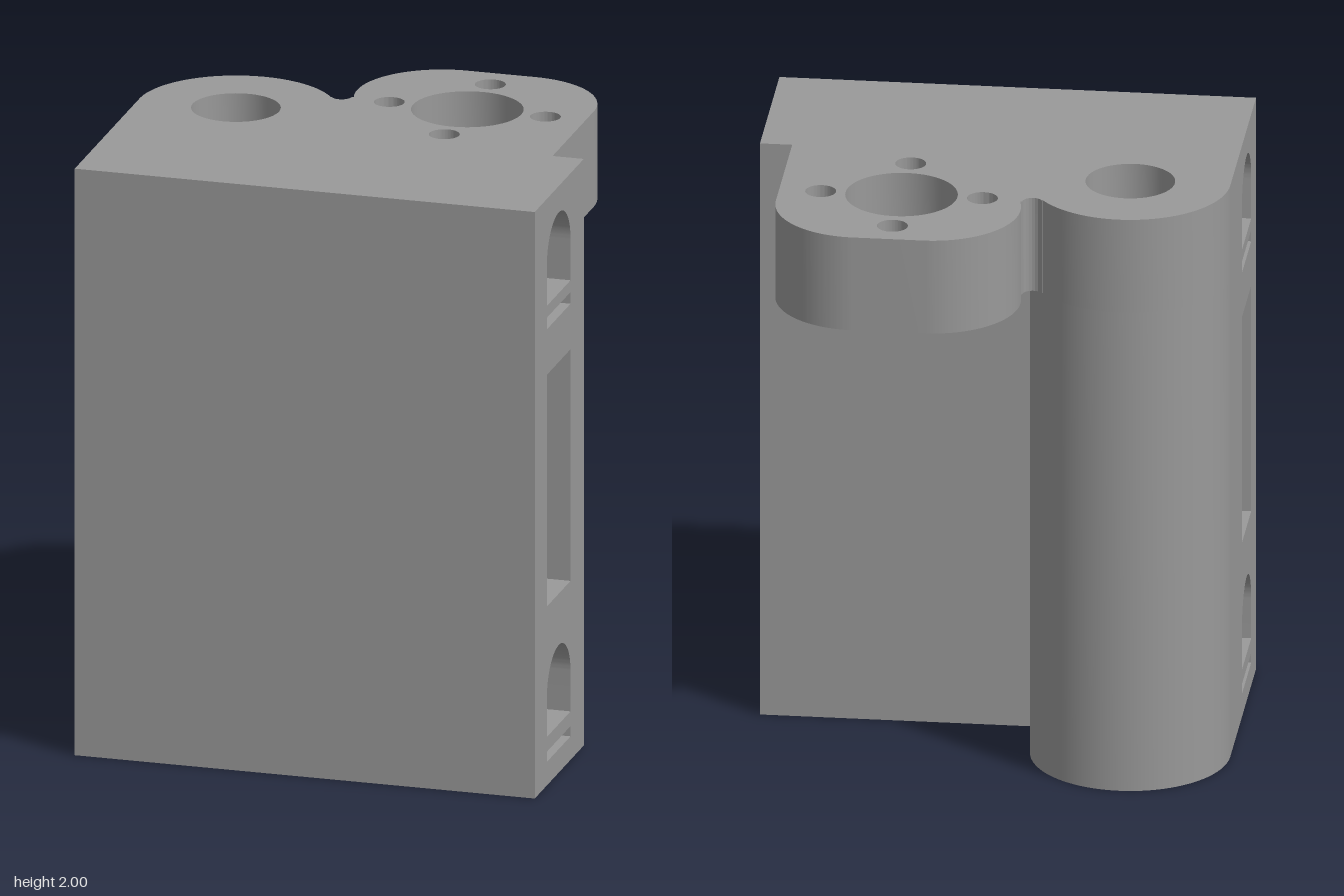
import * as THREE from 'three';
import { toCreasedNormals } from 'three/addons/utils/BufferGeometryUtils.js';

const SLAB_BACK = 0.095, SLAB_FRONT = 0.655, HALF_W = 0.775;
const HEIGHT = 2, FLANGE_BOTTOM = 1.675;

export function createModel() {
  const model = new THREE.Group();
  model.name = 'bracket';
  const grey = new THREE.MeshStandardMaterial({ color: 0x999999 });
  grey.name = 'grey';

  const extrude = (shape, depth) =>
    new THREE.ExtrudeGeometry(shape, { depth, bevelEnabled: false, curveSegments: 32 });

  const add = (name, geometry) => {
    const mesh = new THREE.Mesh(toCreasedNormals(geometry, 0.5), grey);
    mesh.name = name;
    model.add(mesh);
  };

  // Plan shapes use (x, -z) and are extruded upwards
  const addPlan = (name, shape, y0, y1) =>
    add(name, extrude(shape, y1 - y0).rotateX(-Math.PI / 2).translate(0, y0, 0));

  const roundHole = (shape, x, z, r) =>
    shape.holes.push(new THREE.Path().absarc(x, -z, r, 0, Math.PI * 2, true));

  // Slab: side profile (z, y) with cutouts running through the full width
  const slab = new THREE.Shape();
  slab.moveTo(SLAB_BACK, 0).lineTo(SLAB_FRONT, 0).lineTo(SLAB_FRONT, HEIGHT).lineTo(SLAB_BACK, HEIGHT).closePath();
  const mid = 0.381, r = 0.135;
  const rectHole = (y0, y1) => {
    const p = new THREE.Path();
    p.moveTo(mid - r, y0).lineTo(mid - r, y1).lineTo(mid + r, y1).lineTo(mid + r, y0).closePath();
    slab.holes.push(p);
  };
  const archHole = (y0, y1) => {
    const p = new THREE.Path();
    p.moveTo(mid - r, y0).lineTo(mid - r, y1 - r);
    p.absarc(mid, y1 - r, r, Math.PI, 0, true).lineTo(mid + r, y0).closePath();
    slab.holes.push(p);
  };
  rectHole(0.08, 0.115);
  archHole(0.165, 0.435);
  rectHole(0.61, 1.4);
  rectHole(1.555, 1.595);
  archHole(1.635, 1.91);
  add('slab', extrude(slab, HALF_W * 2).rotateY(-Math.PI / 2).translate(HALF_W, 0, 0));

  // Rounded column with a vertical bore
  const column = new THREE.Shape();
  column.moveTo(-HALF_W, -SLAB_BACK).lineTo(-0.18, -SLAB_BACK);
  column.absarc(-0.45, 0.085, 0.325, -0.588, Math.PI, false).closePath();
  roundHole(column, -0.45, -0.085, 0.145);
  addPlan('column', column, 0, FLANGE_BOTTOM);

  // Top flange: motor plate, small relief notch and top of the column
  const flange = new THREE.Shape();
  flange.moveTo(-HALF_W, -SLAB_BACK).lineTo(0.67, -SLAB_BACK).lineTo(0.67, 0.375);
  flange.absarc(0.39, 0.375, 0.28, 0, Math.PI / 2, false);
  flange.absarc(0.16, 0.37, 0.285, Math.PI / 2, Math.PI + 0.26, false);
  flange.absarc(-0.155, 0.293, 0.033, 0, -Math.PI + 0.5, true);
  flange.absarc(-0.45, 0.085, 0.325, 0.625, Math.PI, false).closePath();
  roundHole(flange, -0.45, -0.085, 0.145);
  roundHole(flange, 0.272, -0.28, 0.182);
  for (const [dx, dz] of [[1, 0], [-1, 0], [0, 1], [0, -1]]) {
    roundHole(flange, 0.272 + dx * 0.263, -0.28 + dz * 0.263, 0.05);
  }
  addPlan('topFlange', flange, FLANGE_BOTTOM, HEIGHT);

  return model;
}
